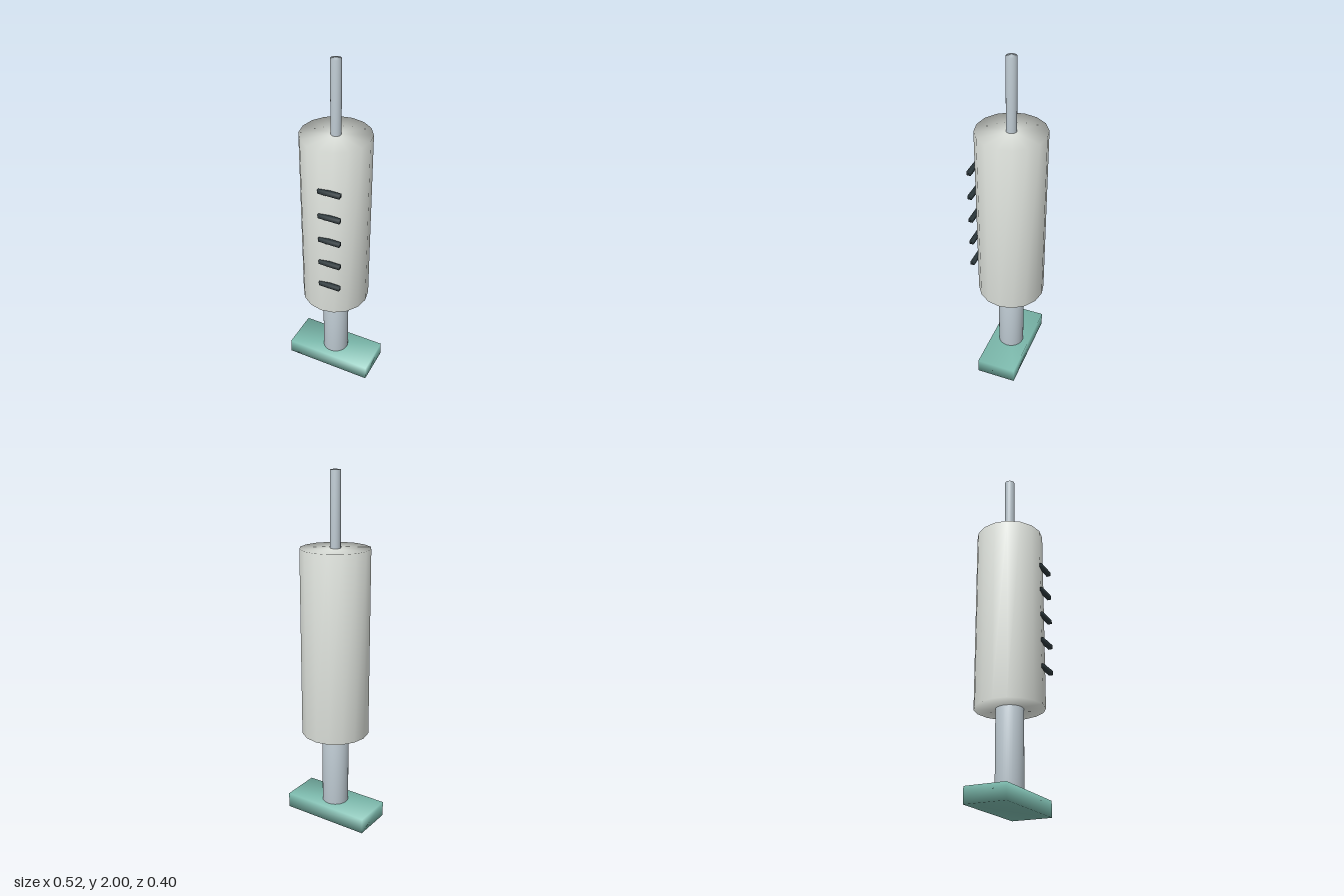
import * as THREE from 'three';
import { mergeVertices } from 'three/addons/utils/BufferGeometryUtils.js';

// Share corner vertices so the shading flows softly round every edge.
function soften(geometry) {
  geometry.deleteAttribute('normal');
  geometry.deleteAttribute('uv');
  const merged = mergeVertices(geometry, 1e-4);
  merged.computeVertexNormals();
  return merged;
}

export function createModel() {
  const group = new THREE.Group();
  const axisZ = -0.006;

  const material = (color) => new THREE.MeshStandardMaterial({ color });
  const barrelMat = material(0xe2e6e0);
  const metalMat = material(0xc0ccd4);
  const gripMat = material(0x7dbbae);
  const markMat = material(0x2c383c);

  function add(name, geometry, mat, x, y, z) {
    const mesh = new THREE.Mesh(soften(geometry), mat);
    mesh.name = name;
    mesh.position.set(x, y, z);
    group.add(mesh);
  }

  // Upright cylinder between two heights on the common axis
  function column(name, radius, bottom, top, sides, mat) {
    const geometry = new THREE.CylinderGeometry(radius, radius, top - bottom, sides);
    add(name, geometry, mat, 0, (bottom + top) / 2, axisZ);
  }

  // Thumb rest at the foot
  add('thumbRest', new THREE.BoxGeometry(0.523, 0.088, 0.233), gripMat, 0, 0.044, axisZ);

  // Plunger, barrel and needle
  column('plungerRod', 0.076, 0.08, 0.54, 32, metalMat);
  column('barrel', 0.193, 0.533, 1.595, 16, barrelMat);
  column('needle', 0.0285, 1.585, 2, 32, metalMat);

  // Measuring marks up the front of the barrel
  for (let i = 0; i < 5; i++) {
    add('measureMark' + (i + 1), new THREE.BoxGeometry(0.126, 0.023, 0.023), markMat,
      0.058, 0.745 + i * 0.1545, 0.1875);
  }

  return group;
}
